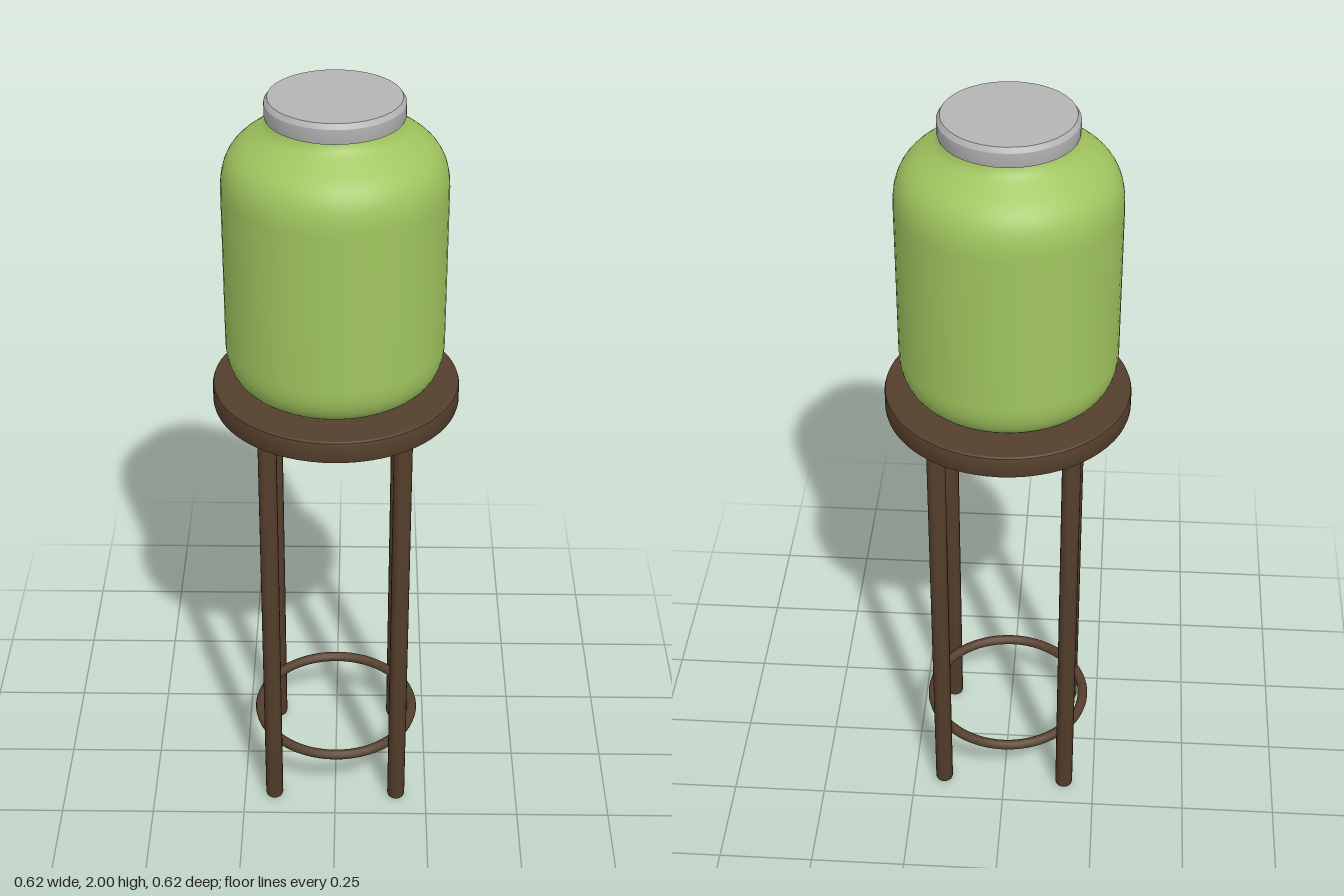
import * as THREE from 'three';
import { toCreasedNormals } from 'three/addons/utils/BufferGeometryUtils.js';

export function createModel() {
  const model = new THREE.Group();
  model.name = 'jarOnStand';

  const material = (name, color) => {
    const m = new THREE.MeshStandardMaterial({ color });
    m.name = name;
    return m;
  };
  const wood = material('dark wood', 0x553f2c);
  const green = material('green jar', 0xa0c55f);
  const metal = material('grey lid', 0xb4b4b4);

  const add = (name, geometry, mat, x = 0, y = 0, z = 0) => {
    const mesh = new THREE.Mesh(geometry, mat);
    mesh.name = name;
    mesh.position.set(x, y, z);
    model.add(mesh);
    return mesh;
  };

  // Turned part from [radius, height] pairs, listed bottom to top
  const turned = (profile, segments = 64, crease = 0.5) =>
    toCreasedNormals(
      new THREE.LatheGeometry(profile.map(([r, y]) => new THREE.Vector2(r, y)), segments), crease);

  // Round top with softly eased edges
  add('standTop', turned([
    [0, 1.187], [0.302, 1.187], [0.307, 1.19], [0.309, 1.196],
    [0.309, 1.238], [0.307, 1.244], [0.302, 1.247], [0, 1.247],
  ]), wood);

  // Hollow apron ring below the top
  add('apronRing', turned([
    [0.198, 1.145], [0.224, 1.145], [0.224, 1.19], [0.198, 1.19], [0.198, 1.145],
  ]), wood);

  // Four round legs with eased feet
  const legGeometry = turned([
    [0, 0], [0.018, 0], [0.022, 0.004], [0.0235, 0.01], [0.0235, 1.19], [0, 1.19],
  ], 24, 0.7);
  for (const [sx, depth] of [[1, 'front'], [-1, 'front'], [1, 'back'], [-1, 'back']]) {
    const side = sx > 0 ? 'Left' : 'Right';
    add(`${depth}${side}Leg`, legGeometry, wood, sx * 0.168, 0, depth === 'front' ? 0.173 : -0.173);
  }

  // Foot ring joining the legs
  const footRing = add('footRing', new THREE.TorusGeometry(0.211, 0.0135, 12, 64), wood, 0, 0.178, 0);
  footRing.rotation.x = Math.PI / 2;

  // Jar outline: rounded base, straight wall, sloping shoulder, short neck
  const outline = new THREE.Path();
  outline.moveTo(0, 1.247);
  outline.lineTo(0.165, 1.247);
  outline.bezierCurveTo(0.235, 1.25, 0.272, 1.285, 0.272, 1.365);
  outline.lineTo(0.272, 1.77);
  outline.bezierCurveTo(0.272, 1.87, 0.225, 1.885, 0.175, 1.922);
  outline.quadraticCurveTo(0.156, 1.936, 0.153, 1.96);
  add('jarBody', new THREE.LatheGeometry(outline.getPoints(14), 64), green, -0.002);

  // Lid with a narrow bevel around its top
  add('jarLid', turned([
    [0, 1.952], [0.165, 1.952], [0.166, 1.956], [0.166, 1.988], [0.158, 2], [0, 2],
  ], 40), metal, -0.002);

  return model;
}
